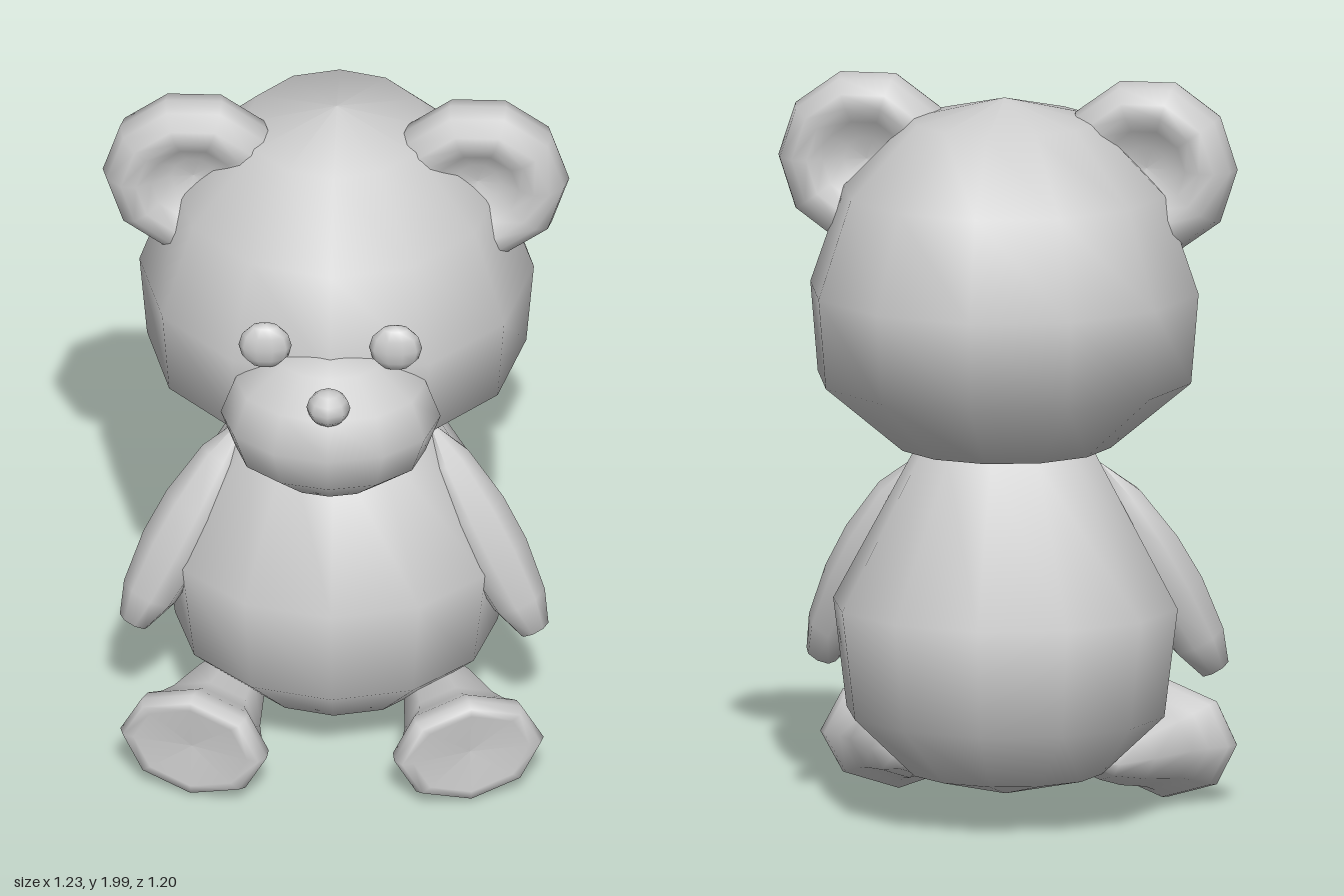
import * as THREE from 'three';

const grey = new THREE.MeshStandardMaterial({ color: 0xcccccc });

// Smooth low-poly solid of revolution; points are [radius, height] from bottom to top
function turned(points, sides, start = 0) {
  return new THREE.LatheGeometry(points.map(([r, y]) => new THREE.Vector2(r, y)), sides, start);
}

function ball(rx, ry, rz, sides, rings) {
  return new THREE.SphereGeometry(1, sides, rings).scale(rx, ry, rz);
}

export function createModel() {
  const bear = new THREE.Group();
  bear.name = 'teddyBear';

  function add(name, geometry, x, y, z) {
    const mesh = new THREE.Mesh(geometry, grey);
    mesh.name = name;
    mesh.position.set(x, y, z);
    bear.add(mesh);
    return mesh;
  }

  // Head, flattened underneath
  add('head', turned([
    [0, 1.0], [0.285, 1.02], [0.5, 1.2], [0.52, 1.44], [0.43, 1.7], [0.245, 1.89], [0, 1.95],
  ], 12), 0, 0, -0.085);

  // Pear-shaped body
  add('body', turned([
    [0, 0.08], [0.23, 0.14], [0.38, 0.3], [0.412, 0.59], [0.215, 1.0], [0, 1.08],
  ], 12).scale(1.12, 1, 1), 0, 0, -0.07);

  // Face
  add('muzzle', ball(0.29, 0.22, 0.22, 12, 6), 0, 1.28, 0.373);
  add('nose', ball(0.058, 0.052, 0.05, 8, 6), 0, 1.425, 0.545);

  for (const side of [1, -1]) {
    const label = side > 0 ? 'left' : 'right';

    add(label + 'Eye', ball(0.07, 0.07, 0.035, 10, 6), side * 0.172, 1.52, 0.4);

    // Ear: thick rounded rim around a dished centre
    const ear = turned([
      [0, -0.02], [0.06, -0.028], [0.11, -0.06], [0.15, -0.082], [0.19, -0.08], [0.228, -0.045],
      [0.24, 0],
      [0.228, 0.045], [0.19, 0.08], [0.15, 0.082], [0.11, 0.06], [0.06, 0.028], [0, 0.02],
    ], 10, Math.PI / 2).rotateX(Math.PI / 2);
    add(label + 'Ear', ear, side * 0.375, 1.767, -0.033);

    // Arm: tapered pod from hand up to shoulder
    const hand = new THREE.Vector3(side * 0.53, 0.395, 0.11);
    const shoulder = new THREE.Vector3(side * 0.245, 0.97, -0.03);
    const reach = shoulder.clone().sub(hand);
    const length = reach.length();
    const arm = add(label + 'Arm', turned([
      [0, 0], [0.042, 0.01], [0.075, 0.15], [0.092, 0.38], [0.088, 0.58], [0.06, 0.82], [0, 1],
    ].map(([r, t]) => [r, t * length]), 8), hand.x, hand.y, hand.z);
    arm.quaternion.setFromUnitVectors(new THREE.Vector3(0, 1, 0), reach.normalize());

    // Leg: widens forward into a flared foot with a flat sole
    const leg = add(label + 'Leg', turned([
      [0, -0.42], [0.045, -0.38], [0.08, -0.26], [0.108, -0.12], [0.125, -0.07],
      [0.152, -0.025], [0.157, 0.01], [0.145, 0.035], [0.122, 0.036], [0, 0.022],
    ], 8).scale(1.3, 1, 1).rotateX(Math.PI / 2), side * 0.36, 0.165, 0.32);
    leg.rotation.y = side * 0.3;
  }

  return bear;
}
